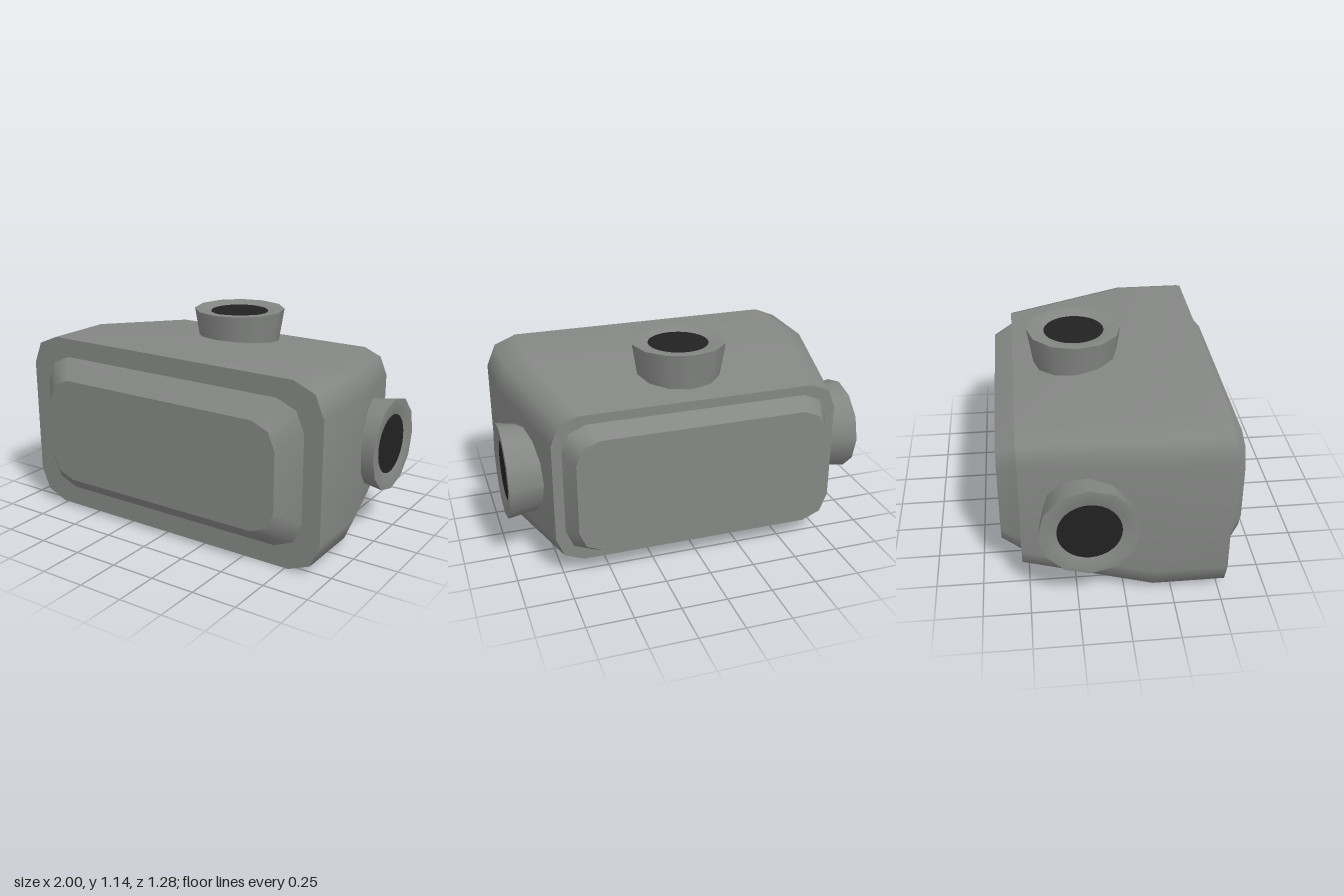
import * as THREE from 'three';

const housingGray = new THREE.MeshStandardMaterial({ color: 0x858785 });
housingGray.name = 'housing gray';
const lensBlack = new THREE.MeshStandardMaterial({ color: 0x222222 });
lensBlack.name = 'lens black';

// Counter-clockwise rounded rectangle with two facets per corner
function ring({ z, w, y0, y1, r }) {
  const corners = [[w - r, y0 + r, -90], [w - r, y1 - r, 0], [-w + r, y1 - r, 90], [-w + r, y0 + r, 180]];
  const points = [];
  for (const [x, y, start] of corners) {
    for (let k = 0; k <= 2; k++) {
      const a = THREE.MathUtils.degToRad(start + k * 45);
      points.push([x + r * Math.cos(a), y + r * Math.sin(a), z]);
    }
  }
  return points;
}

function mesh(name, geometry, material) {
  const m = new THREE.Mesh(geometry, material);
  m.name = name;
  return m;
}

function indexed(points, index) {
  const g = new THREE.BufferGeometry();
  g.setAttribute('position', new THREE.Float32BufferAttribute(points.flat(), 3));
  g.setIndex(index);
  g.computeVertexNormals();
  return g;
}

// Smooth wall through cross-sections ordered from front to back
function wall(sections) {
  const rings = sections.map(ring);
  const n = rings[0].length;
  const index = [];
  for (let s = 0; s < rings.length - 1; s++) {
    for (let i = 0; i < n; i++) {
      const a = s * n + i, b = s * n + (i + 1) % n;
      index.push(a, a + n, b + n, a, b + n, b);
    }
  }
  return indexed(rings.flat(), index);
}

function cap(section, facesFront) {
  const points = ring(section);
  const index = [];
  for (let i = 1; i < points.length - 1; i++) {
    index.push(0, facesFront ? i : i + 1, facesFront ? i + 1 : i);
  }
  return indexed(points, index);
}

function block(name, sections) {
  const g = new THREE.Group();
  g.name = name;
  g.add(
    mesh(name + 'Wall', wall(sections), housingGray),
    mesh(name + 'Front', cap(sections[0], true), housingGray),
    mesh(name + 'Back', cap(sections[sections.length - 1], false), housingGray)
  );
  return g;
}

// Flared twelve-sided port pointing up, rim at the origin
function port(name) {
  const g = new THREE.Group();
  g.name = name;
  const collar = new THREE.CylinderGeometry(0.26, 0.222, 0.24, 12, 1, true);
  collar.translate(0, -0.12, 0);
  const rim = new THREE.LatheGeometry([
    new THREE.Vector2(0.26, 0),
    new THREE.Vector2(0.21, 0),
    new THREE.Vector2(0.15, -0.022)
  ], 12);
  const lens = new THREE.CircleGeometry(0.165, 32);
  lens.rotateX(-Math.PI / 2);
  lens.translate(0, -0.014, 0);
  g.add(
    mesh(name + 'Collar', collar, housingGray),
    mesh(name + 'Rim', rim, housingGray),
    mesh(name + 'Lens', lens, lensBlack)
  );
  return g;
}

export function createModel() {
  const model = new THREE.Group();
  model.name = 'housing';

  // Main body, tapering to the rear
  model.add(block('body', [
    { z: 0.535, w: 0.945, y0: 0, y1: 1.01, r: 0.175 },
    { z: 0.15, w: 0.945, y0: 0, y1: 1.01, r: 0.175 },
    { z: -0.535, w: 0.788, y0: 0.087, y1: 0.925, r: 0.145 }
  ]));

  // Bevelled panels on both ends
  model.add(block('frontPanel', [
    { z: 0.64, w: 0.737, y0: 0.21, y1: 0.803, r: 0.135 },
    { z: 0.53, w: 0.845, y0: 0.106, y1: 0.91, r: 0.16 }
  ]));
  model.add(block('rearPanel', [
    { z: -0.53, w: 0.737, y0: 0.138, y1: 0.876, r: 0.135 },
    { z: -0.64, w: 0.685, y0: 0.19, y1: 0.824, r: 0.125 }
  ]));

  // One port on top and one on each side
  const top = port('topPort');
  top.position.set(0, 1.14, -0.19);
  model.add(top);
  for (const side of [1, -1]) {
    const p = port(side > 0 ? 'leftPort' : 'rightPort');
    p.position.set(side, 0.505, -0.19);
    p.rotation.z = -side * Math.PI / 2;
    model.add(p);
  }
  return model;
}
